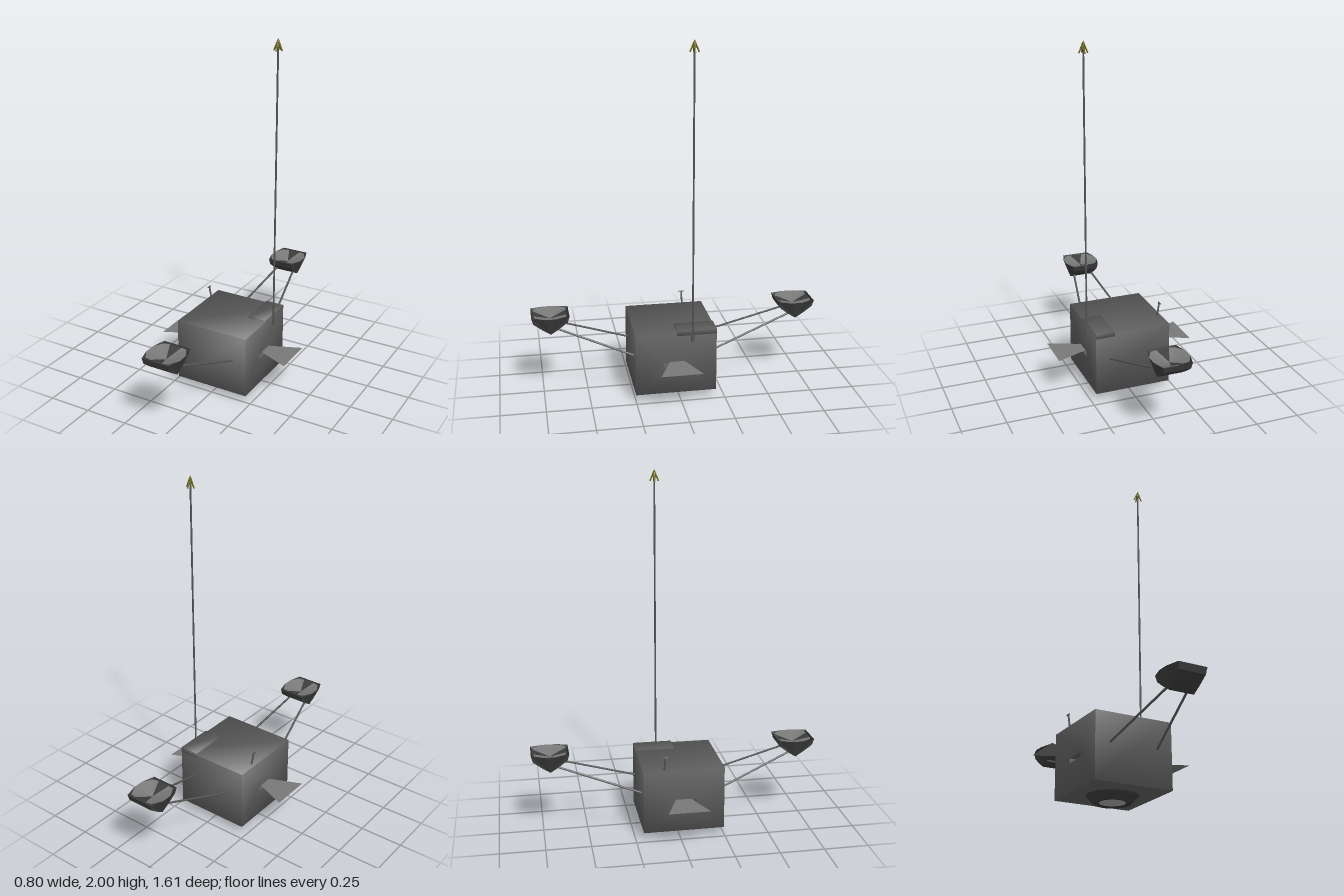
import * as THREE from 'three';

const paint = (color, flatShading) => new THREE.MeshStandardMaterial({ color, side: THREE.DoubleSide, flatShading });
const shell = paint(0x5c5c5c, false);
const metal = paint(0x585858, false);
const panel = paint(0x787878, true);
const dark = paint(0x3c3c3c, true);
const pale = paint(0xa8a8a8, true);
const gold = paint(0x6b6410, true);

function add(parent, name, geometry, material) {
  const mesh = new THREE.Mesh(geometry, material);
  mesh.name = name;
  parent.add(mesh);
  return mesh;
}

// Thin round bar between two points
function bar(parent, name, a, b, radius, material = metal) {
  const from = new THREE.Vector3(...a), to = new THREE.Vector3(...b);
  const dir = to.clone().sub(from);
  const mesh = add(parent, name, new THREE.CylinderGeometry(radius, radius, dir.length(), 6), material);
  mesh.position.copy(from).add(to).multiplyScalar(0.5);
  mesh.quaternion.setFromUnitVectors(new THREE.Vector3(0, 1, 0), dir.normalize());
  return mesh;
}

// Polygon fan around its first point
function fan(points) {
  const index = [];
  for (let i = 1; i < points.length - 1; i++) index.push(0, i, i + 1);
  const g = new THREE.BufferGeometry();
  g.setAttribute('position', new THREE.Float32BufferAttribute(points.flat(), 3));
  g.setIndex(index);
  g.computeVertexNormals();
  return g;
}

// Lean the normals at a box's outer corners outwards, for soft shading
function softenCorners(geometry, center, half) {
  const p = geometry.attributes.position, n = geometry.attributes.normal;
  const d = new THREE.Vector3(), normal = new THREE.Vector3();
  for (let i = 0; i < p.count; i++) {
    d.fromBufferAttribute(p, i).sub(center).divide(half);
    if (Math.min(Math.abs(d.x), Math.abs(d.y), Math.abs(d.z)) < 0.99) continue;
    normal.fromBufferAttribute(n, i).addScaledVector(d, 1.5).normalize();
    n.setXYZ(i, normal.x, normal.y, normal.z);
  }
  return geometry;
}

// Foot cup: a tapered trough with two dished lobes across its mouth
function cup() {
  const group = new THREE.Group();
  const profile = [[0.105, 0.48], [0.095, 0.445], [0.045, 0.405], [0, 0.375],
    [-0.045, 0.405], [-0.095, 0.445], [-0.105, 0.48]]; // z, y
  const halfWidth = (y) => 0.068 + 0.012 * (y - 0.375) / 0.105;
  const pos = [], index = [];
  profile.forEach(([z, y], i) => {
    pos.push(-halfWidth(y), y, z, halfWidth(y), y, z);
    if (i) {
      const k = 2 * i;
      index.push(k - 2, k, k - 1, k - 1, k, k + 1);
    }
  });
  const trough = new THREE.BufferGeometry();
  trough.setAttribute('position', new THREE.Float32BufferAttribute(pos, 3));
  trough.setIndex(index);
  trough.computeVertexNormals();
  add(group, 'cupTrough', trough, dark);

  const rim = [[0.036, 0.092], [0.07, 0.085], [0.102, 0.03], [0.102, -0.03], [0.07, -0.085], [0.036, -0.092]];
  for (const s of [-1, 1]) {
    // Bulging end, from the keel up to the lobe's outer edge
    const edge = [-1, 1].map((m) => profile.slice(0, 3).map(([z, y]) => [s * halfWidth(y), y, m * z]));
    add(group, 'cupEnd', fan([[s * 0.068, 0.375, 0], ...edge[0].reverse(),
      [s * 0.102, 0.478, -0.03], [s * 0.102, 0.478, 0.03], ...edge[1]]), dark);
    add(group, 'cupLobe', fan([[0, 0.445, 0], ...rim.map(([x, z]) => [s * x, 0.478, s * z])]), panel);
    // Dark panel in the gap between the lobes
    add(group, 'cupPanel', fan([[0, 0.445, 0], [-0.036, 0.478, s * 0.092], [0.036, 0.478, s * 0.092]]), dark);
  }
  return group;
}

export function createModel() {
  const model = new THREE.Group();
  model.name = 'lander';

  // Box body with a slot running from side to side
  const side = new THREE.Shape([[-0.25, 0.04], [0.205, 0.04], [0.205, 0.4], [-0.25, 0.4]].map((p) => new THREE.Vector2(...p)));
  side.holes.push(new THREE.Path([[-0.092, 0.196], [-0.092, 0.223], [0.036, 0.223], [0.036, 0.196]].map((p) => new THREE.Vector2(...p))));
  const body = new THREE.ExtrudeGeometry(side, { depth: 0.44, bevelEnabled: false });
  body.rotateY(Math.PI / 2).translate(-0.22, 0, 0);
  softenCorners(body, new THREE.Vector3(0, 0.22, 0.0225), new THREE.Vector3(0.22, 0.18, 0.2275));
  add(model, 'body', body, shell);

  // Raised corner plate
  const plate = new THREE.BoxGeometry(0.11, 0.03, 0.225);
  softenCorners(plate, new THREE.Vector3(), new THREE.Vector3(0.055, 0.015, 0.1125));
  add(model, 'cornerPlate', plate, shell).position.set(0.165, 0.395, -0.0925);

  // Underside nozzle ring with a pale disc in its mouth
  const ring = [[0.14, 0.042], [0.135, 0.034], [0.1, 0], [0.07, 0.004]];
  add(model, 'nozzleRing', new THREE.LatheGeometry(ring.map((p) => new THREE.Vector2(...p)), 12), dark).position.z = 0.02;
  const disc = add(model, 'nozzleDisc', new THREE.CircleGeometry(0.07, 12), pale);
  disc.rotation.x = Math.PI / 2;
  disc.position.set(0, 0.004, 0.02);

  // Flared side fins
  for (const s of [-1, 1]) {
    add(model, 'sideFin', fan([[s * 0.21, 0.228, -0.02], [s * 0.4, 0.228, -0.097],
      [s * 0.4, 0.228, 0.137], [s * 0.21, 0.228, 0.055]]), panel);
  }

  // Outrigger struts and cups, front and back
  for (const s of [-1, 1]) {
    const outrigger = new THREE.Group();
    outrigger.name = s > 0 ? 'frontOutrigger' : 'backOutrigger';
    const wall = s > 0 ? 0.245 : -0.195;
    for (const m of [-1, 1]) bar(outrigger, 'strut', [m * 0.135, 0.243, wall], [m * 0.055, 0.405, s * 0.67], 0.006);
    const foot = cup();
    foot.name = 'cup';
    foot.position.z = s * 0.702;
    outrigger.add(foot);
    model.add(outrigger);
  }

  // Tall mast with its bracket and a gold arrow tip
  const mast = new THREE.Group();
  mast.name = 'mast';
  mast.position.set(0.226, 0, -0.068);
  model.add(mast);
  bar(mast, 'mastPole', [0, 0.35, 0], [0, 1.97, 0], 0.005);
  bar(mast, 'mastBracket', [0, 0.345, 0], [0, 0.385, 0], 0.009);
  add(mast, 'mastTip', new THREE.ConeGeometry(0.011, 0.045, 6), gold).position.y = 1.977;
  for (let i = 0; i < 4; i++) {
    const a = i * Math.PI / 2;
    bar(mast, 'tipProng', [0, 1.99, 0], [0.024 * Math.cos(a), 1.933, 0.024 * Math.sin(a)], 0.004, gold);
  }

  // Short T-shaped aerial
  bar(model, 'aerial', [-0.195, 0.395, -0.085], [-0.209, 0.478, -0.082], 0.005);
  bar(model, 'aerialBar', [-0.21, 0.476, -0.096], [-0.21, 0.476, -0.068], 0.004);
  return model;
}
